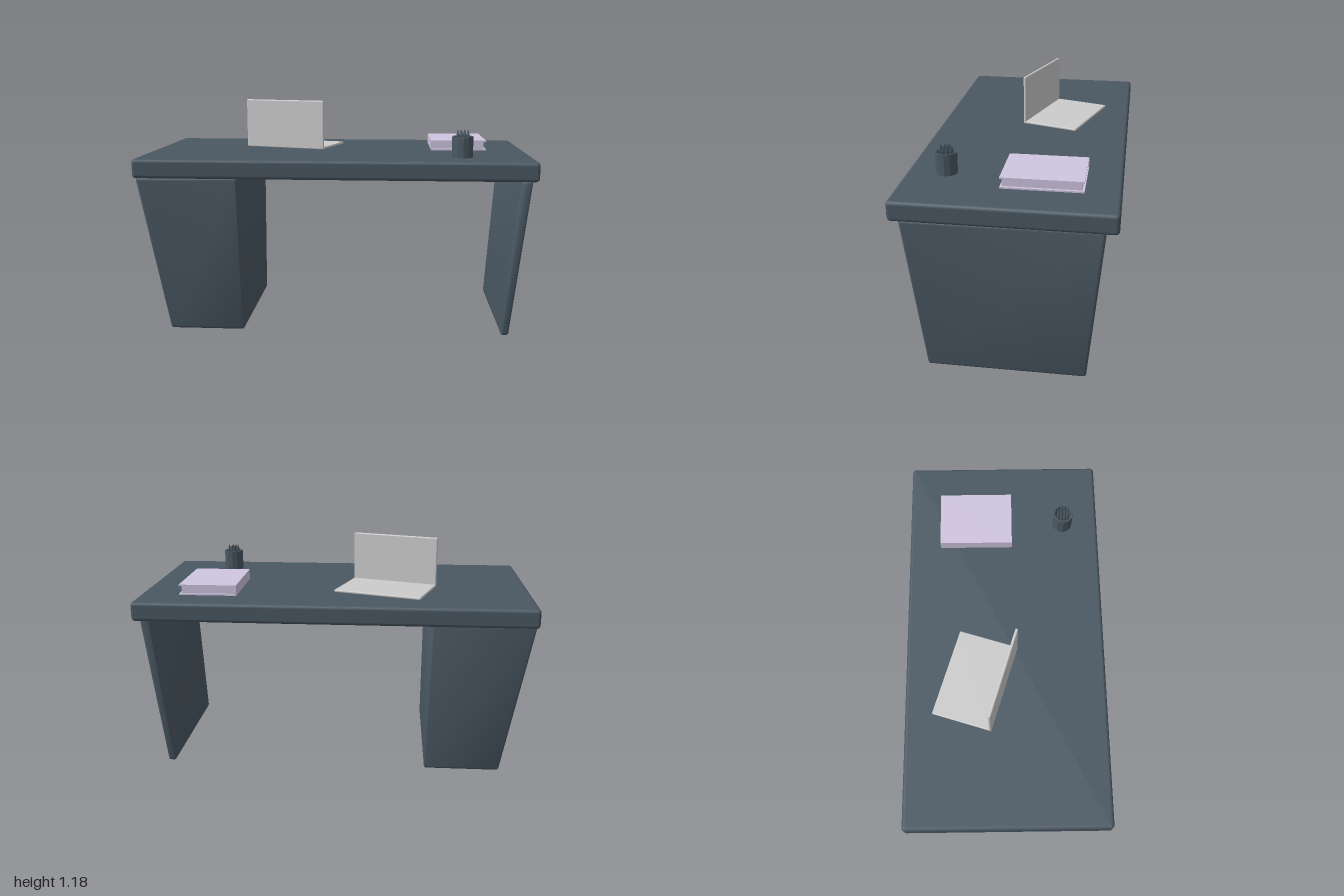
import * as THREE from 'three';
import { RoundedBoxGeometry } from 'three/addons/geometries/RoundedBoxGeometry.js';
import { toCreasedNormals } from 'three/addons/utils/BufferGeometryUtils.js';

const deskMat = new THREE.MeshStandardMaterial({ color: 0x4a5863 });
const bookMat = new THREE.MeshStandardMaterial({ color: 0xcfc5e0 });
const greyMat = new THREE.MeshStandardMaterial({ color: 0xcccccc });

function add(parent, name, geometry, material, x = 0, y = 0, z = 0) {
  const mesh = new THREE.Mesh(geometry, material);
  mesh.name = name;
  mesh.position.set(x, y, z);
  parent.add(mesh);
  return mesh;
}

const rounded = (w, h, d, r) => new RoundedBoxGeometry(w, h, d, 3, r);

// Rounded block standing on y = 0 whose section runs from bottom to top: [x0, x1, z0, z1]
function taperedBlock(height, bottom, top, radius) {
  const geo = new RoundedBoxGeometry(1, 1, 1, 3, 0.1);
  const w = (bottom[1] - bottom[0] + top[1] - top[0]) / 2;
  const d = (bottom[3] - bottom[2] + top[3] - top[2]) / 2;
  const box = rounded(w, height, d, radius);
  geo.dispose();
  const p = box.attributes.position;
  const mix = THREE.MathUtils.lerp;
  for (let i = 0; i < p.count; i++) {
    const t = p.getY(i) / height + 0.5;
    const u = p.getX(i) / w + 0.5, v = p.getZ(i) / d + 0.5;
    p.setXYZ(i,
      mix(mix(bottom[0], top[0], t), mix(bottom[1], top[1], t), u),
      t * height,
      mix(mix(bottom[2], top[2], t), mix(bottom[3], top[3], t), v));
  }
  return toCreasedNormals(box, 0.6);
}

export function createModel() {
  const desk = new THREE.Group();
  desk.name = 'desk';
  const topY = 0.915;

  // Slab and its two supports
  add(desk, 'deskTop', rounded(2, 0.097, 1.015, 0.018), deskMat, 0, topY - 0.0485, 0);
  add(desk, 'pedestal', taperedBlock(0.815,
    [-0.865, -0.475, -0.38, 0.39], [-0.998, -0.482, -0.452, 0.465], 0.014), deskMat);
  add(desk, 'sidePanel', taperedBlock(0.815,
    [0.86, 0.9, -0.38, 0.39], [0.924, 0.977, -0.452, 0.465], 0.013), deskMat);

  // Open laptop, its screen standing on the front edge
  const laptop = new THREE.Group();
  laptop.name = 'laptop';
  laptop.position.set(-0.255, topY, -0.155);
  laptop.rotation.y = -0.305;
  add(laptop, 'laptopBase', rounded(0.462, 0.014, 0.31, 0.006), greyMat, 0, 0.008, 0);
  add(laptop, 'laptopScreen', rounded(0.462, 0.258, 0.015, 0.006), greyMat, 0, 0.135, 0.1475);
  desk.add(laptop);

  // Book: two covers, a spine on the left-hand side and inset pages
  const book = new THREE.Group();
  book.name = 'book';
  book.position.set(0.648, topY, -0.15);
  for (const [name, y] of [['lowerCover', 0.004], ['upperCover', 0.05]])
    add(book, name, new THREE.BoxGeometry(0.294, 0.008, 0.382), bookMat, 0, y, 0);
  add(book, 'spine', new THREE.BoxGeometry(0.01, 0.038, 0.382), bookMat, -0.142, 0.027, 0);
  add(book, 'pages', new THREE.BoxGeometry(0.272, 0.038, 0.362), bookMat, -0.001, 0.027, 0);
  desk.add(book);

  // Faceted pencil cup
  const cup = new THREE.Group();
  cup.name = 'pencilCup';
  cup.position.set(0.643, topY, 0.317);
  const profile = [[0, 0], [0.053, 0], [0.053, 0.105], [0.045, 0.105], [0.045, 0.008], [0, 0.008]]
    .map(([x, y]) => new THREE.Vector2(x, y));
  const cupGeo = toCreasedNormals(new THREE.LatheGeometry(profile, 12), 0.1);
  add(cup, 'cup', cupGeo, deskMat);

  // Pencils on a 4 by 4 grid without its corners
  const shaft = new THREE.CylinderGeometry(0.007, 0.007, 0.105, 6);
  const tip = new THREE.ConeGeometry(0.007, 0.025, 6);
  for (let i = 0; i < 4; i++) for (let j = 0; j < 4; j++) {
    if (i % 3 === 0 && j % 3 === 0) continue;
    const x = (i - 1.5) * 0.017, z = (j - 1.5) * 0.017;
    add(cup, 'pencilShaft', shaft, deskMat, x, 0.0605, z);
    add(cup, 'pencilTip', tip, deskMat, x, 0.1255, z);
  }
  desk.add(cup);

  return desk;
}
